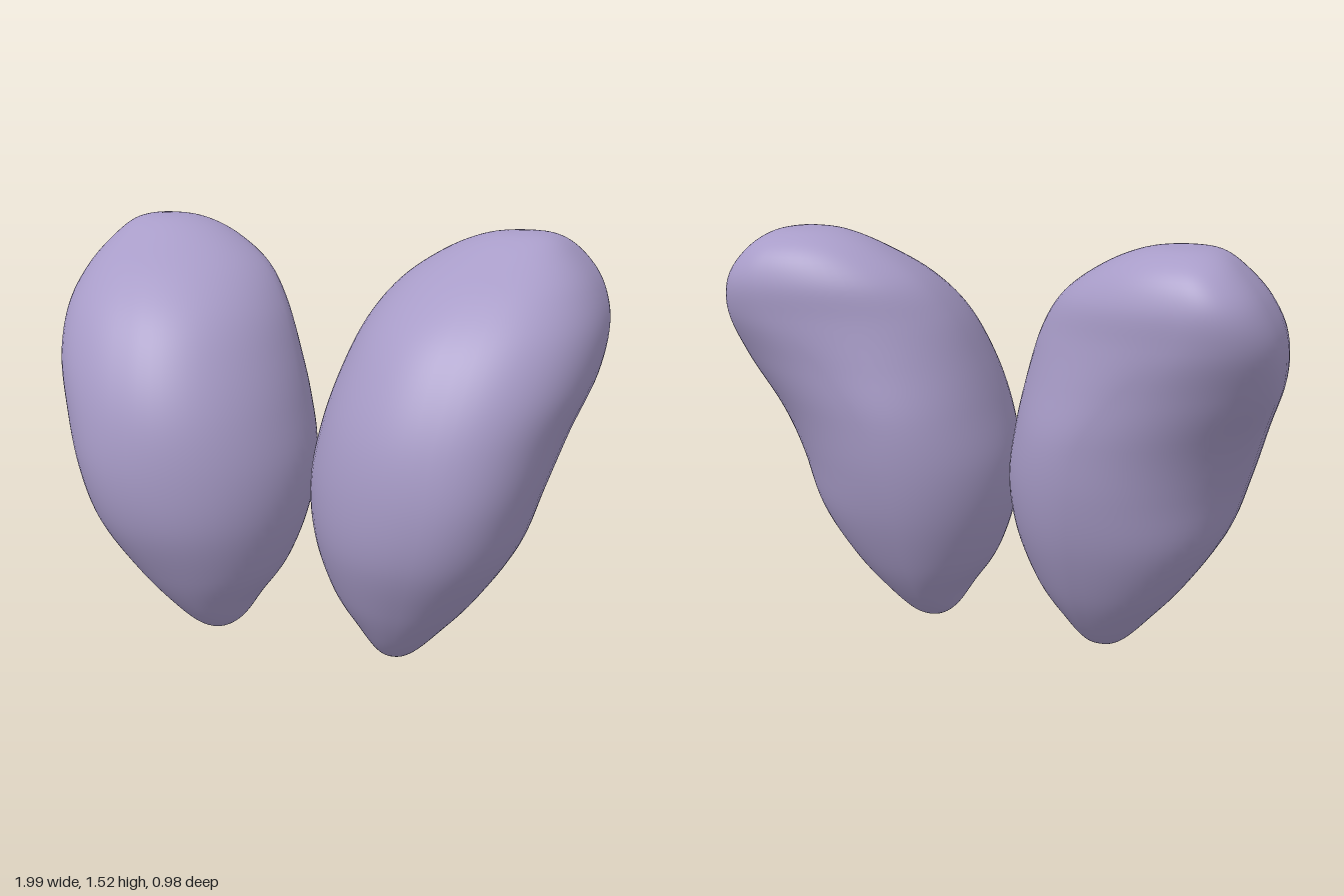
import * as THREE from 'three';
import { mergeVertices } from 'three/addons/utils/BufferGeometryUtils.js';

// Cross-sections of one lobe, bottom to top:
// y, inner x, outer x, back z, front z, z of inner edge, z of outer edge, x of front ridge, x of back ridge
const SECTIONS = [
  [0, 0.35, 0.35, 0.05, 0.05, 0.05, 0.05, 0.35, 0.35],
  [0.012, 0.31, 0.39, 0, 0.12, 0.05, 0.05, 0.35, 0.35],
  [0.05, 0.265, 0.445, -0.07, 0.19, 0.05, 0.05, 0.36, 0.34],
  [0.14, 0.205, 0.53, -0.155, 0.27, 0.05, 0.05, 0.38, 0.33],
  [0.28, 0.11, 0.65, -0.25, 0.36, 0.04, 0.05, 0.41, 0.33],
  [0.48, 0.04, 0.78, -0.345, 0.455, 0.02, 0.05, 0.46, 0.34],
  [0.68, 0.022, 0.85, -0.405, 0.49, 0, 0.04, 0.5, 0.36],
  [0.88, 0.058, 0.915, -0.437, 0.475, -0.02, -0.03, 0.51, 0.4],
  [1.06, 0.11, 0.98, -0.453, 0.415, -0.07, -0.13, 0.53, 0.53],
  [1.22, 0.175, 0.995, -0.478, 0.315, -0.13, -0.22, 0.56, 0.7],
  [1.35, 0.27, 0.955, -0.488, 0.17, -0.19, -0.27, 0.61, 0.75],
  [1.45, 0.41, 0.88, -0.445, 0, -0.22, -0.27, 0.66, 0.73],
  [1.508, 0.55, 0.8, -0.35, -0.12, -0.23, -0.24, 0.68, 0.7],
  [1.525, 0.69, 0.69, -0.22, -0.22, -0.22, -0.22, 0.69, 0.69],
];

// Smooth loft through the sections; side is +1 or -1 for the mirrored lobe
function lobeGeometry(side) {
  const around = 64, rows = 78, last = SECTIONS.length - 1;
  const spline = new THREE.CubicInterpolant(SECTIONS.map((_, i) => i), SECTIONS.flat(), 9);
  const positions = [], indices = [];
  for (let i = 0; i <= rows; i++) {
    const [y, x0, x1, z0, z1, zInner, zOuter, xFront, xBack] = spline.evaluate((i / rows) * last);
    // the outer half is fuller than an ellipse, less so at the back of mid height
    const backPower = 0.86 + 0.16 * Math.exp(-(((y - 0.75) / 0.25) ** 2));
    for (let j = 0; j < around; j++) {
      const t = (j / around) * Math.PI * 2;
      let c = Math.cos(t), s = Math.sin(t);
      if (c > 0) {
        const power = s > 0 ? 0.82 : backPower;
        c = c ** power;
        s = Math.sign(s) * Math.abs(s) ** power;
      }
      const cx = s > 0 ? xFront : xBack;
      const cz = c > 0 ? zOuter : zInner;
      const x = cx + c * (c > 0 ? x1 - cx : cx - x0);
      const z = cz + s * (s > 0 ? z1 - cz : cz - z0);
      positions.push(side * x, y, z);
      if (i === rows) continue;
      const k = (j + 1) % around;
      const a = i * around + j, b = i * around + k, d = a + around, e = b + around;
      if (side > 0) indices.push(a, d, b, b, d, e);
      else indices.push(a, b, d, b, e, d);
    }
  }
  let geometry = new THREE.BufferGeometry();
  geometry.setAttribute('position', new THREE.Float32BufferAttribute(positions, 3));
  geometry.setIndex(indices);
  geometry = mergeVertices(geometry, 1e-5); // joins the poles
  geometry.computeVertexNormals();
  return geometry;
}

export function createModel() {
  const group = new THREE.Group();
  const material = new THREE.MeshStandardMaterial({ color: 0xa89cc8 });
  for (const [name, side] of [['leftLobe', 1], ['rightLobe', -1]]) {
    const lobe = new THREE.Mesh(lobeGeometry(side), material);
    lobe.name = name;
    group.add(lobe);
  }
  return group;
}
